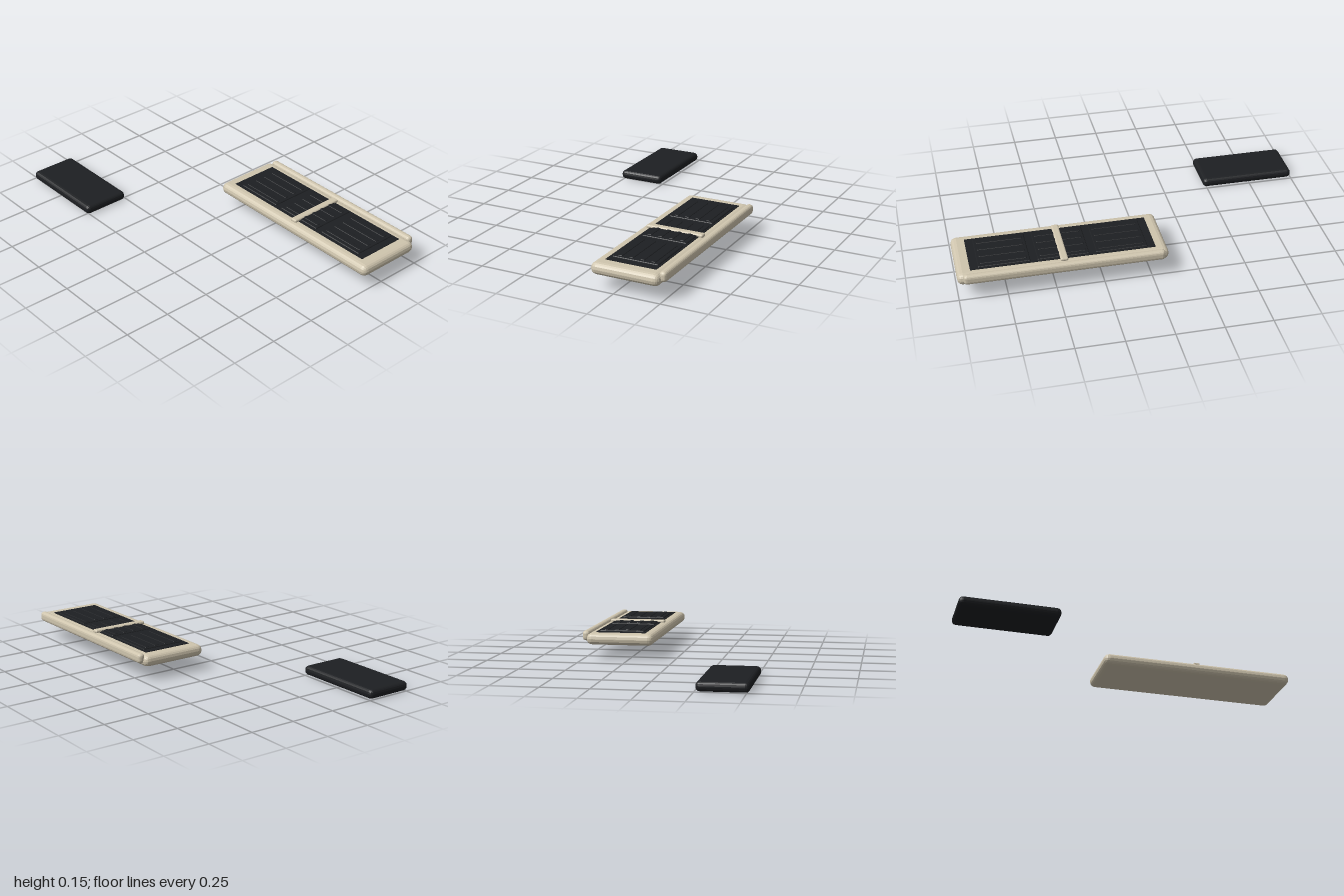
import * as THREE from 'three';
import { RoundedBoxGeometry } from 'three/addons/geometries/RoundedBoxGeometry.js';

const shell = new THREE.MeshStandardMaterial({ color: 0xcfc5ae, flatShading: true });
const dark = new THREE.MeshStandardMaterial({ color: 0x1d1f22, flatShading: true });

// Rounded block given by its extents on each axis
function block(name, [x0, x1], [y0, y1], [z0, z1], radius, material) {
  const geometry = new RoundedBoxGeometry(x1 - x0, y1 - y0, z1 - z0, 2, radius);
  const mesh = new THREE.Mesh(geometry, material);
  mesh.name = name;
  mesh.position.set((x0 + x1) / 2, (y0 + y1) / 2, (z0 + z1) / 2);
  return mesh;
}

export function createModel() {
  const model = new THREE.Group();
  model.name = 'trayAndBlock';

  // Separate dark block standing on the ground
  model.add(block('separateBlock', [-1, -0.48], [0, 0.05], [0.255, 0.515], 0.022, dark));

  // Raised tray with a rail along the back
  const tray = new THREE.Group();
  tray.name = 'tray';
  tray.add(block('trayBody', [-0.094, 1], [0.074, 0.137], [-0.49, -0.118], 0.03, shell));
  tray.add(block('backRail', [-0.07, 0.97], [0.094, 0.148], [-0.515, -0.475], 0.018, shell));

  // Thin dark inlay on the top
  const inlay = new THREE.Mesh(new THREE.BoxGeometry(0.96, 0.02, 0.275), dark);
  inlay.name = 'inlay';
  inlay.position.set(0.45, 0.13, -0.308);
  tray.add(inlay);

  // Three pads, each with four low ribs
  for (let i = 0; i < 3; i++) {
    const x = 0.145 + i * 0.305;
    const pad = new THREE.Group();
    pad.name = 'pad' + (i + 1);
    pad.add(block('padBase', [x - 0.135, x + 0.135], [0.13, 0.145], [-0.435, -0.185], 0.006, dark));
    for (let j = 0; j < 4; j++) {
      const z = -0.4 + j * 0.06;
      pad.add(block('padRib', [x - 0.12, x + 0.12], [0.138, 0.148], [z - 0.012, z + 0.012], 0.004, dark));
    }
    tray.add(pad);
  }

  // Strap across the middle
  tray.add(block('crossBar', [0.43, 0.47], [0.132, 0.152], [-0.467, -0.147], 0.009, shell));
  model.add(tray);
  return model;
}
